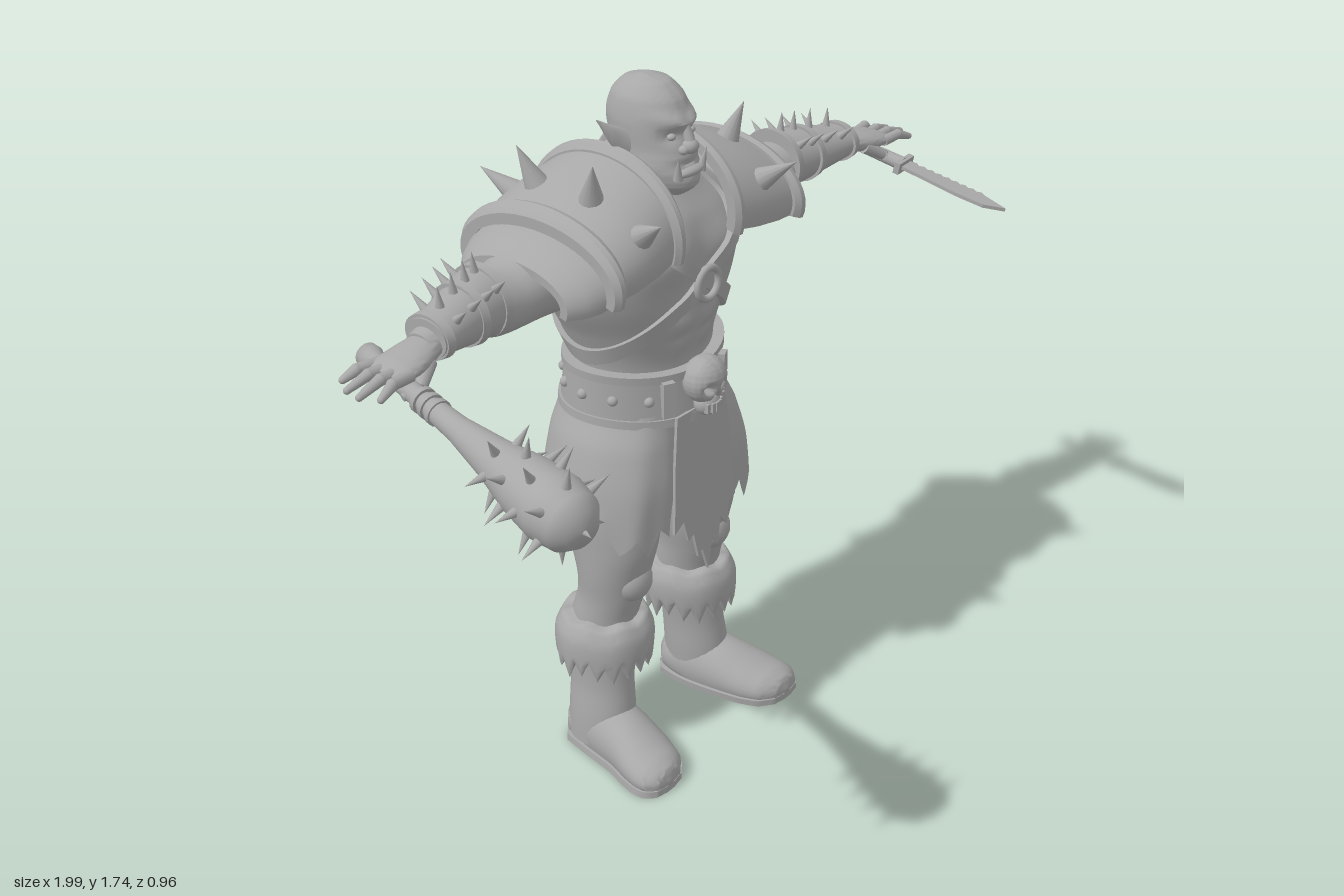
import * as THREE from 'three';
import { toCreasedNormals } from 'three/addons/utils/BufferGeometryUtils.js';

const V = (x, y, z) => new THREE.Vector3(x, y, z);
const grey = new THREE.MeshStandardMaterial({ color: 0xa8a8a8, side: THREE.DoubleSide });
grey.name = 'clay grey';
const bell = (d, w) => Math.exp(-(d * d) / (w * w));
const zig = (v, n) => Math.abs(((v * n) % 1) * 2 - 1) - 0.5;

function add(parent, geo, name, pos, scale) {
  const m = new THREE.Mesh(geo, grey);
  m.name = name;
  if (pos) m.position.copy(pos);
  if (scale) m.scale.copy(scale);
  parent.add(m);
  return m;
}
const blob = (parent, name, x, y, z, rx, ry, rz) =>
  add(parent, new THREE.SphereGeometry(1, 20, 14), name, V(x, y, z), V(rx, ry, rz));

// tapered rod between two points; r1 = 0 makes a spike
function rod(parent, name, a, b, r0, r1, n = 10) {
  const d = b.clone().sub(a);
  const m = add(parent, new THREE.CylinderGeometry(r1, r0, d.length(), n), name, a.clone().add(b).multiplyScalar(0.5));
  m.quaternion.setFromUnitVectors(V(0, 1, 0), d.normalize());
  return m;
}
const spike = (parent, p, dir, r, h) =>
  rod(parent, 'spike', p.clone().addScaledVector(dir.normalize(), -0.015), p.clone().addScaledVector(dir, h), r, 0, 12);

// surface f(u, v): v runs round a closed loop, u along it; turned to face outward
function grid(f, nu, nv, caps = true, crease = 0.9) {
  const pos = [], idx = [], mid = V(0, 0, 0), ends = [V(0, 0, 0), V(0, 0, 0)];
  for (let i = 0; i <= nu; i++) for (let j = 0; j < nv; j++) {
    const p = f(i / nu, j / nv);
    pos.push(p.x, p.y, p.z);
    mid.addScaledVector(p, 1 / ((nu + 1) * nv));
    if (i === 0) ends[0].addScaledVector(p, 1 / nv);
    if (i === nu) ends[1].addScaledVector(p, 1 / nv);
    if (i < nu) {
      const a = i * nv + j, b = i * nv + (j + 1) % nv;
      idx.push(a, b, a + nv, b, b + nv, a + nv);
    }
  }
  if (caps) {
    const c = (nu + 1) * nv;
    ends.forEach(e => pos.push(e.x, e.y, e.z));
    for (let j = 0; j < nv; j++) {
      const k = (j + 1) % nv;
      idx.push(c, k, j, c + 1, nu * nv + j, nu * nv + k);
    }
  }
  const at = i => V(pos[3 * i], pos[3 * i + 1], pos[3 * i + 2]).sub(mid);
  let vol = 0;
  for (let i = 0; i < idx.length; i += 3) vol += at(idx[i]).dot(at(idx[i + 1]).cross(at(idx[i + 2])));
  if (vol < 0) idx.reverse();
  const g = new THREE.BufferGeometry();
  g.setAttribute('position', new THREE.Float32BufferAttribute(pos, 3));
  g.setIndex(idx);
  return toCreasedNormals(g, crease);
}

// smooth interpolation of cross-section rows at a fractional index
function rowAt(rows, t) {
  const i = Math.min(Math.floor(t), rows.length - 2), u = t - i;
  const R = k => rows[Math.max(0, Math.min(rows.length - 1, k))];
  return R(i).map((b, k) => {
    const c = R(i + 1)[k], m0 = (c - R(i - 1)[k]) / 2, m1 = (R(i + 2)[k] - b) / 2;
    if (k === 0) return b + (c - b) * u;
    const q = u * u, w = q * u;
    return (2 * w - 3 * q + 1) * b + (w - 2 * q + u) * m0 + (3 * q - 2 * w) * c + (w - q) * m1;
  });
}
// rows: [position on axis, centre a, centre b, radius a, radius b]
function loft(axis, rows, s = 1, { n = 28, sub = 4, caps = true, tweak } = {}) {
  return grid((u, v) => {
    const [t, a, b, ra, rb] = rowAt(rows, u * (rows.length - 1)), th = v * Math.PI * 2;
    const A = a + Math.max(ra, 0.001) * Math.cos(th), B = b + Math.max(rb, 0.001) * Math.sin(th);
    const p = axis === 'y' ? V(A, t, B) : axis === 'x' ? V(t, A, B) : V(A, B, t);
    if (tweak) tweak(p, u, v);
    p.x *= s;
    return p;
  }, (rows.length - 1) * sub, n, caps);
}

// torso surface with muscle relief, shared by the body, straps and belt
const torsoRows = [[0.8, 0, -0.19, 0.18, 0.15], [0.92, 0, -0.195, 0.2, 0.16], [1.0, 0, -0.195, 0.197, 0.15],
  [1.08, 0, -0.19, 0.197, 0.142], [1.15, 0, -0.195, 0.22, 0.163], [1.25, 0, -0.197, 0.27, 0.18],
  [1.34, 0, -0.2, 0.29, 0.18], [1.42, 0, -0.21, 0.25, 0.172], [1.48, 0, -0.215, 0.16, 0.14], [1.54, 0, -0.2, 0.085, 0.095]];
function torso(th, y, off = 0) {
  let i = 0;
  while (i < torsoRows.length - 2 && torsoRows[i + 1][0] < y) i++;
  const [, , cz, rx, rz] = rowAt(torsoRows, i + (y - torsoRows[i][0]) / (torsoRows[i + 1][0] - torsoRows[i][0]));
  const c = Math.cos(th), s = Math.sin(th), x = rx * c;
  const pec = 0.028 * bell(Math.abs(x) - 0.11, 0.08) * bell(y - 1.35, 0.06);
  const abs = 0.012 * bell(Math.abs(x) - 0.045, 0.03) * Math.abs(Math.sin((y - 1.07) * 45)) * bell(y - 1.17, 0.08);
  const back = 0.02 * bell(Math.abs(x) - 0.12, 0.08) * bell(y - 1.36, 0.1) - 0.015 * bell(x, 0.03) * bell(y - 1.25, 0.15);
  return V(x + off * c, y, cz + (rz + off) * s + (s > 0 ? pec + abs : -back) * Math.abs(s));
}
// flat band laid on the torso; path(u) gives [angle, height]
function band(path, half, thick, n = 72) {
  return grid((u, v) => {
    const [th, y] = path(u), k = Math.round(v * 4);
    return torso(th, y + (k === 0 || k === 3 ? -half : half), k < 2 ? -0.01 : thick);
  }, n, 4, true, 0.6);
}

// arched shoulder plate between two rows [x, centre y, rise, half depth]
const padPoint = (r, ph, t) => V(r[0], r[1] + (r[2] + t) * Math.cos(ph), -0.205 + (r[3] + t) * Math.sin(ph));
function plate(a, b, thick, s) {
  return grid((u, v) => {
    const k = Math.round(v * 8), w = k < 4 ? k / 3 : (7 - k) / 3;
    const p = padPoint(a.map((q, i) => q + (b[i] - q) * w), (u * 2 - 1) * 1.82, (k < 4 ? thick : 0) + 0.012 * Math.sin(w * Math.PI));
    p.x *= s;
    return p;
  }, 30, 8, true, 0.5);
}

function buildHead(body) {
  const g = new THREE.Group(); g.name = 'head'; body.add(g);
  const rows = [[1.45, 0, -0.2, 0.09, 0.1], [1.475, 0, -0.14, 0.055, 0.075], [1.5, 0, -0.135, 0.072, 0.09], [1.54, 0, -0.14, 0.083, 0.1],
    [1.58, 0, -0.155, 0.081, 0.104], [1.64, 0, -0.165, 0.082, 0.106], [1.69, 0, -0.168, 0.071, 0.088],
    [1.72, 0, -0.17, 0.046, 0.056], [1.735, 0, -0.17, 0.004, 0.004]];
  add(g, loft('y', rows, 1, { n: 48, sub: 6, tweak: p => {
    if (p.z < -0.14) return;
    const ax = Math.abs(p.x);
    p.z += 0.014 * bell(p.y - 1.638 - ax * 0.25, 0.014) * bell(ax - 0.03, 0.04)
      - 0.016 * bell(p.y - 1.612, 0.014) * bell(ax - 0.036, 0.02) + 0.012 * bell(p.y - 1.5, 0.025) * bell(ax, 0.05)
      - 0.01 * bell(p.y - 1.548, 0.008) * bell(ax, 0.05);
  } }), 'face and skull');
  blob(g, 'nose', 0, 1.588, -0.048, 0.02, 0.018, 0.02);
  rod(g, 'noseBridge', V(0, 1.635, -0.062), V(0, 1.59, -0.046), 0.01, 0.014);
  blob(g, 'lowerLip', 0, 1.53, -0.05, 0.048, 0.012, 0.02);
  blob(g, 'neck', 0, 1.47, -0.215, 0.115, 0.11, 0.1);
  for (const s of [-1, 1]) {
    blob(g, 'eye', s * 0.034, 1.612, -0.073, 0.011, 0.008, 0.01);
    blob(g, 'nostril', s * 0.018, 1.582, -0.052, 0.012, 0.011, 0.013);
    rod(g, 'tusk', V(s * 0.04, 1.52, -0.05), V(s * 0.05, 1.575, -0.04), 0.012, 0);
    add(g, loft('x', [[0.07, 1.585, -0.165, 0.035, 0.022], [0.095, 1.6, -0.175, 0.032, 0.014],
      [0.115, 1.62, -0.185, 0.02, 0.01], [0.137, 1.65, -0.2, 0.002, 0.002]], s, { n: 14 }), 'ear');
  }
}

function buildArm(body, s) {
  const g = new THREE.Group(); g.name = s > 0 ? 'leftArm' : 'rightArm'; body.add(g);
  add(g, loft('x', [[0.2, 1.36, -0.21, 0.1, 0.13], [0.29, 1.365, -0.213, 0.105, 0.125], [0.37, 1.35, -0.217, 0.09, 0.1], [0.44, 1.337, -0.213, 0.074, 0.088],
    [0.5, 1.34, -0.2, 0.07, 0.075], [0.56, 1.352, -0.19, 0.062, 0.07], [0.66, 1.365, -0.165, 0.046, 0.055],
    [0.76, 1.358, -0.14, 0.03, 0.04]], s), 'arm');
  const brace = [[0.515, 1.36, -0.2, 0.076, 0.082], [0.6, 1.363, -0.178, 0.065, 0.072], [0.735, 1.368, -0.145, 0.042, 0.057]];
  add(g, loft('x', brace, s, { sub: 6 }), 'bracer');
  for (const t of [0, 0.95, 1.85]) {
    const [x, y, z, a, b] = rowAt(brace, t);
    add(g, loft('x', [[x - 0.004, y, z, a + 0.007, b + 0.007], [x + 0.016, y, z, a + 0.005, b + 0.005]], s, { sub: 1 }), 'bracerRim');
  }
  for (const t of [0.3, 0.75, 1.2, 1.6]) for (const a of [-0.85, 0, 0.85]) {
    const [x, y, z, ra, rb] = rowAt(brace, t);
    spike(g, V(s * x, y + ra * Math.cos(a), z + rb * Math.sin(a)), V(s * 0.1, Math.cos(a), Math.sin(a)), 0.013, 0.048);
  }
  // hand with spread fingers
  add(g, loft('x', [[0.72, 1.36, -0.14, 0.026, 0.036], [0.79, 1.352, -0.132, 0.027, 0.052], [0.85, 1.346, -0.13, 0.02, 0.056],
    [0.875, 1.344, -0.13, 0.01, 0.045]], s), 'palm');
  [-0.045, -0.015, 0.015, 0.045].forEach((d, i) => {
    const tip = V(s * [0.925, 0.95, 0.955, 0.935][i], 1.335, -0.13 + d * 1.35);
    const joint = V(s * 0.895, 1.349, -0.13 + d * 1.15);
    rod(g, 'finger', V(s * 0.84, 1.345, -0.13 + d), joint, 0.014, 0.013);
    rod(g, 'finger', joint, tip, 0.013, 0.008);
    blob(g, 'knuckle', joint.x, joint.y, joint.z, 0.013, 0.013, 0.013);
    blob(g, 'fingertip', tip.x, tip.y, tip.z, 0.008, 0.008, 0.008);
  });
  rod(g, 'thumb', V(s * 0.775, 1.345, -0.1), V(s * 0.825, 1.315, -0.075), 0.018, 0.014);
  rod(g, 'thumb', V(s * 0.825, 1.315, -0.075), V(s * 0.865, 1.305, -0.085), 0.014, 0.008);
}

function buildShoulder(body, s) {
  const g = new THREE.Group(); g.name = s > 0 ? 'leftShoulderArmour' : 'rightShoulderArmour'; body.add(g);
  const inner = [0.1, 1.405, 0.15, 0.19], outer = [0.335, 1.365, 0.1, 0.2];
  add(g, plate(inner, outer, 0.018, s), 'shoulderPlate');
  add(g, plate([0.09, 1.405, 0.155, 0.193], [0.125, 1.4, 0.148, 0.193], 0.024, s), 'plateBorder');
  add(g, plate([0.305, 1.37, 0.11, 0.202], [0.345, 1.36, 0.1, 0.204], 0.026, s), 'plateBorder');
  add(g, plate([0.32, 1.355, 0.09, 0.19], [0.42, 1.335, 0.06, 0.14], 0.02, s), 'lowerPlate');
  for (const [w, ph] of [[0.5, 1.1], [0.6, 0.35], [0.6, -0.4], [0.4, -1.15]]) {
    const p = padPoint(inner.map((q, i) => q + (outer[i] - q) * w), ph, 0.028);
    spike(g, V(s * p.x, p.y, p.z), V(s * 0.3, Math.cos(ph) + 0.15, Math.sin(ph)), 0.032, 0.095);
  }
}

function buildLeg(body, s) {
  const g = new THREE.Group(); g.name = s > 0 ? 'leftLeg' : 'rightLeg'; body.add(g);
  add(g, loft('y', [[0.85, 0.115, -0.19, 0.11, 0.15], [0.7, 0.14, -0.18, 0.112, 0.14], [0.6, 0.15, -0.168, 0.1, 0.118],
    [0.52, 0.153, -0.165, 0.093, 0.094], [0.45, 0.157, -0.172, 0.083, 0.085], [0.38, 0.163, -0.19, 0.082, 0.085], [0.28, 0.17, -0.19, 0.08, 0.085]], s), 'leg');
  blob(g, 'knee', s * 0.155, 0.5, -0.105, 0.055, 0.055, 0.045);
  // ragged shorts leg
  add(g, loft('y', [[0.96, 0.1, -0.195, 0.1, 0.15], [0.88, 0.115, -0.192, 0.125, 0.165], [0.78, 0.135, -0.188, 0.133, 0.174], [0.66, 0.153, -0.188, 0.13, 0.172]], s,
    { n: 72, sub: 6, caps: false, tweak: (p, u, v) => {
      p.y += Math.max(0, u - 0.75) * 4 * (0.055 * zig(v, 12) + 0.025 * Math.sin(v * 19 + 1));
      p.z += 0.005 * Math.sin(v * 50) * u;
    } }), 'raggedShorts');
  // fur cuff
  add(g, loft('y', [[0.39, 0.165, -0.19, 0.075, 0.08], [0.385, 0.165, -0.19, 0.103, 0.107], [0.35, 0.166, -0.19, 0.12, 0.125],
    [0.3, 0.168, -0.19, 0.121, 0.127], [0.262, 0.17, -0.19, 0.112, 0.118], [0.29, 0.172, -0.19, 0.08, 0.085]], s,
    { n: 72, tweak: (p, u, v) => { p.y += bell(u - 0.8, 0.13) * (0.045 * zig(v, 18) + 0.008 * Math.sin(v * 31)) + 0.004 * Math.sin(v * 44); } }), 'furCuff');
  add(g, loft('y', [[0.32, 0.175, -0.19, 0.083, 0.088], [0.2, 0.182, -0.188, 0.073, 0.086], [0.11, 0.19, -0.183, 0.076, 0.09], [0.03, 0.195, -0.183, 0.075, 0.09]], s), 'bootShaft');
  const foot = [[-0.275, 0.188, 0.05, 0.035, 0.04], [-0.25, 0.188, 0.05, 0.064, 0.06], [-0.17, 0.192, 0.05, 0.077, 0.09], [-0.08, 0.205, 0.045, 0.08, 0.08],
    [0, 0.225, 0.035, 0.084, 0.058], [0.05, 0.237, 0.03, 0.074, 0.045], [0.078, 0.243, 0.028, 0.045, 0.03], [0.085, 0.244, 0.025, 0.012, 0.01]];
  add(g, loft('z', foot, s, { tweak: p => { p.y = Math.max(p.y, 0.008); } }), 'boot');
  add(g, loft('z', foot.map(r => [r[0], r[1], 0.009, r[3] + 0.004, 0.02]), s, { tweak: p => { p.y = p.y > 0.009 ? 0.018 : 0; } }), 'sole');
}

function buildBelt(body) {
  const g = new THREE.Group(); g.name = 'belt'; body.add(g);
  const dip = th => -0.02 * Math.max(0, Math.sin(th)) ** 2;
  const ring = (y, half, t) => band(u => [u * Math.PI * 2, y + dip(u * Math.PI * 2)], half, t);
  add(g, ring(1.01, 0.06, 0.02), 'beltBand');
  add(g, ring(1.065, 0.01, 0.028), 'beltRim');
  add(g, ring(0.953, 0.01, 0.026), 'beltRim');
  for (let i = 0; i < 14; i++) {
    const th = Math.PI / 2 + (i + 0.5) * Math.PI / 7, p = torso(th, 1.01 + dip(th), 0.02);
    if (Math.abs(p.x) > 0.1 || p.z < -0.2) blob(g, 'beltStud', p.x, p.y, p.z, 0.013, 0.013, 0.013);
  }
  for (const s of [-1, 1]) {
    const m = add(g, new THREE.BoxGeometry(0.03, 0.09, 0.025), 'buckleBar', V(s * 0.1, 1.0, -0.035));
    m.rotation.y = s * 0.45;
  }
  // skull buckle with hollow eyes
  add(g, grid((u, v) => {
    const a = u * Math.PI, b = v * Math.PI * 2;
    const p = V(0.06 * Math.sin(a) * Math.cos(b), 0.058 * Math.cos(a), 0.05 * Math.sin(a) * Math.sin(b));
    if (p.z > 0) p.z -= 0.03 * bell(Math.abs(p.x) - 0.024, 0.013) * bell(p.y + 0.012, 0.012) + 0.018 * bell(p.x, 0.008) * bell(p.y + 0.036, 0.01);
    return p.add(V(0, 1.025, -0.005));
  }, 36, 48), 'skullBuckle');
  blob(g, 'skullJaw', 0, 0.965, 0.002, 0.036, 0.032, 0.03);
  for (let i = -2; i <= 2; i++) add(g, new THREE.BoxGeometry(0.01, 0.024, 0.012), 'skullTooth', V(i * 0.012, 0.962, 0.03 - i * i * 0.002));
}

function cloth(parent, name, pts, z, tilt) {
  const geo = new THREE.ExtrudeGeometry(new THREE.Shape(pts.map(p => new THREE.Vector2(...p))), { depth: 0.008, bevelEnabled: false });
  const m = add(parent, geo, name, V(0, 0.95, z));
  m.rotation.x = tilt;
}

// group whose y axis runs from a to b, with its z axis near up
function along(parent, name, a, b) {
  const g = new THREE.Group(), y = b.clone().sub(a).normalize(), x = y.clone().cross(V(0, 1, 0)).normalize();
  g.name = name;
  g.quaternion.setFromRotationMatrix(new THREE.Matrix4().makeBasis(x, y, x.clone().cross(y)));
  g.position.copy(a);
  parent.add(g);
  return g;
}

export function createModel() {
  const root = new THREE.Group(), body = new THREE.Group();
  root.name = 'warrior'; body.name = 'body'; body.position.x = 0.045; root.add(body);
  add(body, grid((u, v) => torso(v * Math.PI * 2, 0.8 + 0.74 * u), 70, 72), 'torso');
  // crossed chest straps and ring
  for (const s of [-1, 1]) add(body, band(u => {
    const k = 1 - 2 * u, th = k * (Math.PI / 2 + 0.75);
    return [s > 0 ? th : Math.PI - th, 1.11 + 0.35 * Math.abs(k) ** 1.9];
  }, 0.02, 0.014), 'chestStrap');
  add(body, new THREE.TorusGeometry(0.038, 0.009, 10, 28), 'strapRing', V(0, 1.27, 0.004));
  buildHead(body);
  for (const s of [-1, 1]) { buildArm(body, s); buildShoulder(body, s); buildLeg(body, s); }
  buildBelt(body);
  cloth(body, 'loincloth', [[-0.09, 0], [-0.105, -0.12], [-0.12, -0.3], [-0.085, -0.28], [-0.07, -0.34], [-0.05, -0.33], [-0.035, -0.4], [-0.02, -0.385],
    [0.0, -0.45], [0.02, -0.37], [0.04, -0.4], [0.055, -0.33], [0.08, -0.36], [0.09, -0.3], [0.115, -0.29], [0.105, -0.12], [0.09, 0]], -0.022, -0.05);
  cloth(body, 'backFlap', [[-0.07, 0], [-0.075, -0.2], [-0.04, -0.18], [-0.02, -0.23], [0.015, -0.19], [0.05, -0.22], [0.075, -0.19], [0.07, 0]], -0.36, 0.03);

  // spiked club in the right hand
  const club = along(root, 'club', V(-0.77, 1.335, -0.24), V(-0.888, 1.232, 0.46));
  const prof = [[0.001, -0.01], [0.026, 0], [0.028, 0.02], [0.02, 0.04], [0.022, 0.2], [0.028, 0.32], [0.045, 0.44], [0.065, 0.54], [0.073, 0.62], [0.064, 0.675], [0.04, 0.705], [0.001, 0.712]];
  add(club, new THREE.LatheGeometry(prof.map(p => new THREE.Vector2(...p)), 28), 'clubShaft');
  for (const y of [0.2, 0.225, 0.25]) add(club, new THREE.CylinderGeometry(0.029, 0.029, 0.012, 20), 'gripWrap', V(0, y, 0));
  [[0.47, 0.05], [0.53, 0.062], [0.59, 0.069], [0.65, 0.066]].forEach(([y, r], i) => {
    for (let k = 0; k < 6; k++) {
      const a = (k + (i % 2) / 2) * Math.PI / 3;
      spike(club, V(r * Math.cos(a), y, r * Math.sin(a)), V(Math.cos(a), 0.1, Math.sin(a)), 0.013, 0.05);
    }
  });
  spike(club, V(0, 0.7, 0), V(0, 1, 0), 0.014, 0.03);

  // serrated knife in the left hand
  const knife = along(root, 'knife', V(0.875, 1.335, -0.23), V(0.915, 1.235, 0.27));
  rod(knife, 'knifeHandle', V(0, 0, 0), V(0, 0.21, 0), 0.016, 0.018, 14);
  blob(knife, 'knifePommel', 0, 0, 0, 0.022, 0.015, 0.02);
  add(knife, new THREE.BoxGeometry(0.075, 0.016, 0.03), 'knifeGuard', V(0, 0.21, 0));
  const edge = [[-0.02, 0.2]];
  for (let i = 0; i < 9; i++) edge.push([-0.026, 0.235 + i * 0.024], [-0.018, 0.247 + i * 0.024]);
  edge.push([0.0, 0.51], [0.03, 0.46], [0.033, 0.38], [0.025, 0.28], [0.022, 0.2]);
  const blade = new THREE.Shape(edge.map(([x, y]) => new THREE.Vector2(x, y)));
  add(knife, new THREE.ExtrudeGeometry(blade, { depth: 0.009, bevelEnabled: false }), 'knifeBlade', V(0, 0, -0.0045));
  return root;
}
